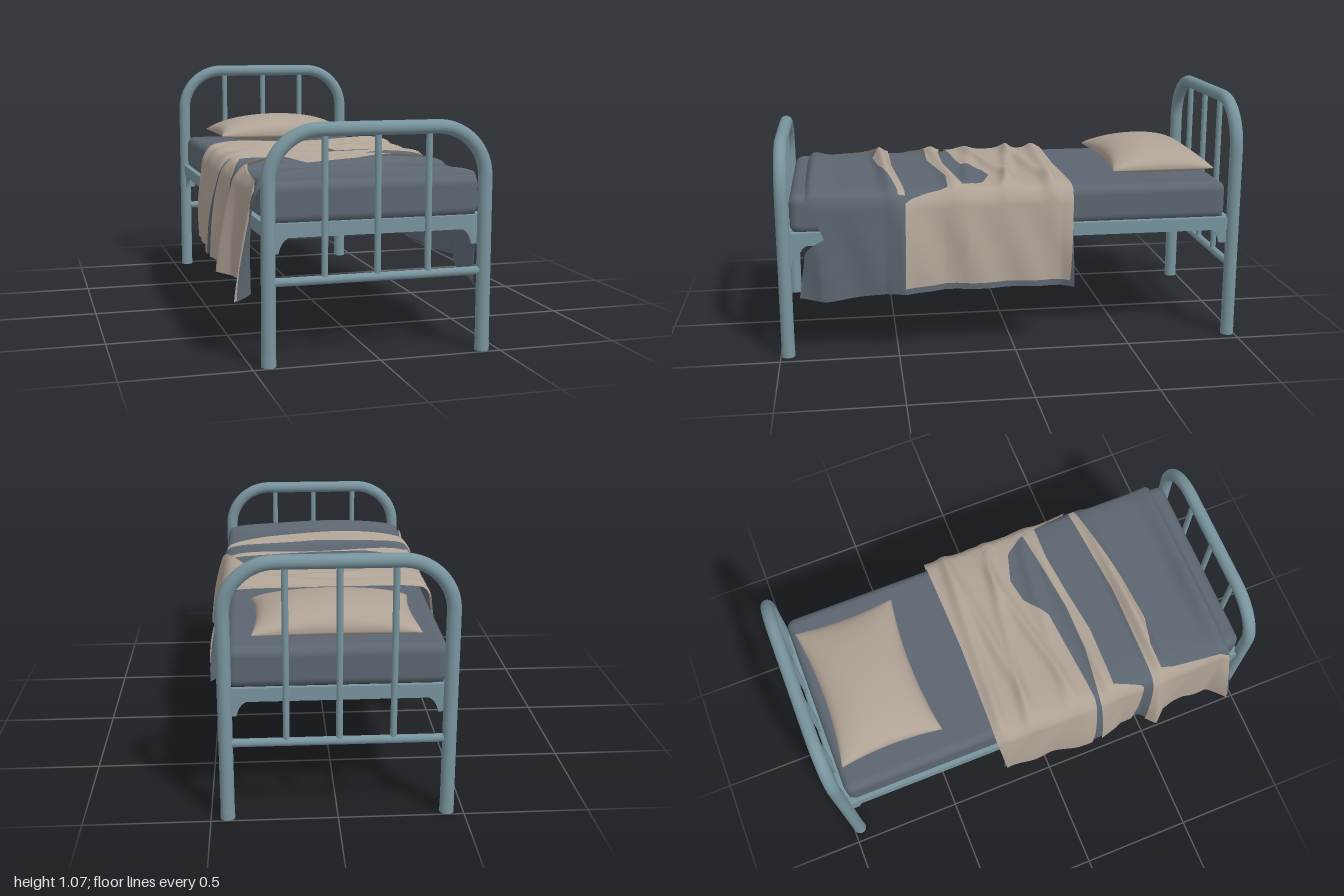
import * as THREE from 'three';
import { RoundedBoxGeometry } from 'three/addons/geometries/RoundedBoxGeometry.js';

const material = (name, color, side = THREE.FrontSide) => {
  const m = new THREE.MeshStandardMaterial({ color, side });
  m.name = name;
  return m;
};

// Linear lookup in a list of [key, value] pairs
function lookup(table, k) {
  if (k <= table[0][0]) return table[0][1];
  for (let i = 1; i < table.length; i++) {
    const [k0, v0] = table[i - 1], [k1, v1] = table[i];
    if (k <= k1) return v0 + (v1 - v0) * (k - k0) / (k1 - k0);
  }
  return table[table.length - 1][1];
}

// Creases on the bed top: centre z, slope along x, half width, height
const CREASES = [
  [0.53, -0.03, 0.03, 0.045], [0.27, -0.05, 0.03, 0.028], [0.15, 0.12, 0.03, 0.02],
  [0.06, -0.2, 0.025, 0.022], [-0.03, 0.15, 0.025, 0.028], [-0.11, -0.12, 0.03, 0.025],
  [-0.19, 0.06, 0.03, 0.035], [0.84, 0, 0.045, 0.034],
];
// How far the hanging sides swing outwards along z
const FLARE_LEFT = [[-0.25, 0.065], [-0.2, 0.035], [0, 0.025], [0.2, 0.035], [0.3, 0.015], [0.47, 0.08],
  [0.55, 0.025], [0.7, 0.005], [0.82, 0.005], [0.9, -0.03]];
const FLARE_RIGHT = [[-0.25, 0.03], [0, 0.035], [0.2, 0.065], [0.25, 0.065], [0.36, 0.02], [0.46, 0.03],
  [0.52, 0.085], [0.58, 0.03], [0.7, 0.01], [0.82, 0.015], [0.9, 0.09]];
const HEM_LEFT = [[-0.25, 0.28], [0.5, 0.28], [0.8, 0.24], [0.9, 0.25]];
const HEM_RIGHT = [[-0.25, 0.29], [0.5, 0.28], [0.9, 0.24]];

// Point on the cloth: |u| < 1 lies on the bed, 1 to 2 hangs down the side
function clothPoint(u, z, offset) {
  const side = Math.sign(u), a = Math.abs(u), d = Math.max(0, a - 1);
  const across = Math.max(-1, Math.min(1, u)), x = 0.437 * across;
  let crease = 0;
  for (const [z0, slope, width, height] of CREASES) {
    const q = (z - z0 - slope * x) / width;
    crease += height * Math.exp(-q * q) * (0.78 + 0.22 * Math.sin(7 * x + z0 * 40));
  }
  const top = 0.704 + crease * (1 - 0.5 * across ** 4) - 0.02 * THREE.MathUtils.smoothstep(z, 0.855, 0.88);
  if (a <= 1) return [x, top + offset - 0.014 * a ** 10, z];
  const bend = Math.sin(Math.min(d / 0.12, 1) * Math.PI / 2);
  const flare = lookup(side > 0 ? FLARE_LEFT : FLARE_RIGHT, z) * Math.sin(d * Math.PI / 2);
  const hem = lookup(side > 0 ? HEM_LEFT : HEM_RIGHT, z);
  const fold = 0.005 * Math.sin(z * 30 + d * 4) * Math.min(1, d * 2);
  const y = top - 0.014 + offset * (1 - bend) - (top - 0.014 - hem) * d;
  return [x + side * (0.016 * bend + flare + fold + offset * bend), y, z];
}

// Cloth patch from u0 to u1, between two edges given as tables of z over u
function clothGeometry(u0, u1, backEdge, frontEdge, offset, nu = 120, nz = 70) {
  const pos = [], index = [];
  for (let i = 0; i <= nu; i++) {
    const u = u0 + (u1 - u0) * i / nu;
    const za = lookup(backEdge, u), zb = lookup(frontEdge, u);
    for (let j = 0; j <= nz; j++) pos.push(...clothPoint(u, za + (zb - za) * j / nz, offset));
  }
  for (let i = 0; i < nu; i++) for (let j = 0; j < nz; j++) {
    const a = i * (nz + 1) + j, b = a + nz + 1;
    index.push(a, a + 1, b, b, a + 1, b + 1);
  }
  const g = new THREE.BufferGeometry();
  g.setAttribute('position', new THREE.Float32BufferAttribute(pos, 3));
  g.setIndex(index);
  g.computeVertexNormals();
  return g;
}

// Pillow: a rounded square plan with pinched corners and swollen faces
function pillowGeometry() {
  const g = new THREE.SphereGeometry(1, 64, 48);
  const p = g.attributes.position;
  for (let i = 0; i < p.count; i++) {
    const nx = p.getX(i), ny = p.getY(i), nz = p.getZ(i);
    const m = Math.max(Math.abs(nx), Math.abs(nz)) || 1;
    const rho = Math.sin(Math.acos(Math.min(1, Math.abs(ny))));
    const u = nx / m * rho, v = nz / m * rho;
    const swell = Math.pow(Math.max(0, (1 - u * u) * (1 - v * v)), 0.42);
    p.setXYZ(i,
      0.328 * u * (1 - 0.06 * (1 - v * v)),
      swell * (ny > 0 ? 0.093 : -0.04),
      0.228 * v * (1 - 0.12 * (1 - u * u)));
  }
  g.computeVertexNormals();
  return g;
}

export function createModel() {
  const bed = new THREE.Group();
  bed.name = 'bed';
  const metal = material('paintedMetal', 0x78949d);
  const slate = material('slateCloth', 0x5c6670, THREE.DoubleSide);
  const cream = material('creamCloth', 0xafa295, THREE.DoubleSide);

  const add = (parent, name, geometry, mat, x = 0, y = 0, z = 0) => {
    const mesh = new THREE.Mesh(geometry, mat);
    mesh.name = name;
    mesh.position.set(x, y, z);
    parent.add(mesh);
    return mesh;
  };

  // Bed end: arched tube, feet, spindles, cross rails and gussets
  function bedEnd(name, z, topY) {
    const end = new THREE.Group();
    end.name = name;
    end.position.z = z;
    bed.add(end);
    const X = 0.434, R = 0.2, K = R * 0.448, V = (x, y) => new THREE.Vector3(x, y, 0);
    const arch = new THREE.CurvePath();
    arch.add(new THREE.LineCurve3(V(-X, 0.01), V(-X, topY - R)));
    arch.add(new THREE.CubicBezierCurve3(V(-X, topY - R), V(-X, topY - K), V(-X + K, topY), V(-X + R, topY)));
    arch.add(new THREE.LineCurve3(V(-X + R, topY), V(X - R, topY)));
    arch.add(new THREE.CubicBezierCurve3(V(X - R, topY), V(X - K, topY), V(X, topY - K), V(X, topY - R)));
    arch.add(new THREE.LineCurve3(V(X, topY - R), V(X, 0.01)));
    add(end, 'archTube', new THREE.TubeGeometry(arch, 120, 0.028, 20), metal);
    for (const s of [-1, 1]) add(end, 'foot', new THREE.CylinderGeometry(0.0285, 0.029, 0.04, 20), metal, s * X, 0.02);
    for (const x of [-0.215, -0.005, 0.2]) {
      add(end, 'spindle', new THREE.CylinderGeometry(0.013, 0.013, topY - 0.32, 14), metal, x, (topY + 0.32) / 2);
    }
    add(end, 'lowerRail', new THREE.CylinderGeometry(0.017, 0.017, 2 * X, 14), metal, 0, 0.322).rotation.z = Math.PI / 2;
    add(end, 'endRail', new THREE.BoxGeometry(0.84, 0.055, 0.02), metal, 0, 0.513, -Math.sign(z) * 0.025);

    // Curved corner plates, one along the end and one along the side
    const plate = new THREE.Shape();
    plate.moveTo(0, 0.54);
    plate.lineTo(0, 0.425);
    plate.lineTo(0.04, 0.425);
    plate.quadraticCurveTo(0.05, 0.475, 0.085, 0.487);
    plate.lineTo(0.085, 0.54);
    const plateGeo = new THREE.ExtrudeGeometry(plate, { depth: 0.014, bevelEnabled: false });
    plateGeo.translate(0, 0, -0.007);
    for (const s of [-1, 1]) {
      add(end, 'endGusset', plateGeo, metal, s * 0.43, 0, -Math.sign(z) * 0.025).rotation.y = s > 0 ? Math.PI : 0;
      add(end, 'sideGusset', plateGeo, metal, s * 0.43, 0, -Math.sign(z) * 0.018).rotation.y =
        Math.sign(z) * Math.PI / 2;
    }
  }
  bedEnd('headboard', -0.972, 1.044);
  bedEnd('footboard', 0.968, 0.892);

  // Side rails
  for (const s of [-1, 1]) add(bed, 'sideRail', new THREE.BoxGeometry(0.03, 0.055, 1.9), metal, s * 0.428, 0.513, 0);

  // Mattress and pillow
  add(bed, 'mattress', new RoundedBoxGeometry(0.86, 0.167, 1.88, 5, 0.04), slate, 0, 0.613, 0);
  add(bed, 'pillow', pillowGeometry(), cream, 0, 0.737, -0.685);

  // Slate blanket over the lower bed, its near corner curling under
  add(bed, 'blanket', clothGeometry(-2, 2,
    [[-2, -0.23], [2, -0.25]],
    [[-2, 0.91], [-1, 0.875], [1, 0.875], [1.4, 0.8], [1.52, 0.88], [2, 0.91]], 0, 120, 110), slate);

  // Cream sheet: the broad fold and two narrow ones
  add(bed, 'sheetFold', clothGeometry(-2, 1.93,
    [[-2, -0.22], [-1, -0.255], [0, -0.245], [1, -0.255], [2, -0.23]],
    [[-2, 0.2], [-1, 0.22], [-0.5, 0.2], [0, 0.18], [0.25, 0.1], [0.5, 0.08], [0.8, 0.12], [0.92, 0.2],
      [1.06, 0.46], [2, 0.47]], 0.01), cream);
  add(bed, 'sheetStripMiddle', clothGeometry(-2, 1.02,
    [[-2, 0.25], [-1, 0.24], [-0.5, 0.265], [0, 0.265], [0.5, 0.24], [1, 0.21]],
    [[-2, 0.42], [-1.05, 0.45], [-0.93, 0.32], [-0.3, 0.325], [0.2, 0.295], [0.6, 0.275], [1, 0.28]],
    0.01, 110, 20), cream);
  add(bed, 'sheetStripFoot', clothGeometry(-2, 1.02,
    [[-2, 0.48], [-1, 0.495], [0, 0.495], [1, 0.46]],
    [[-2, 0.9], [-1.05, 0.87], [-0.97, 0.545], [-0.7, 0.54], [-0.4, 0.575], [0.1, 0.555], [0.5, 0.525], [1, 0.49]],
    0.01, 110, 40), cream);

  return bed;
}
